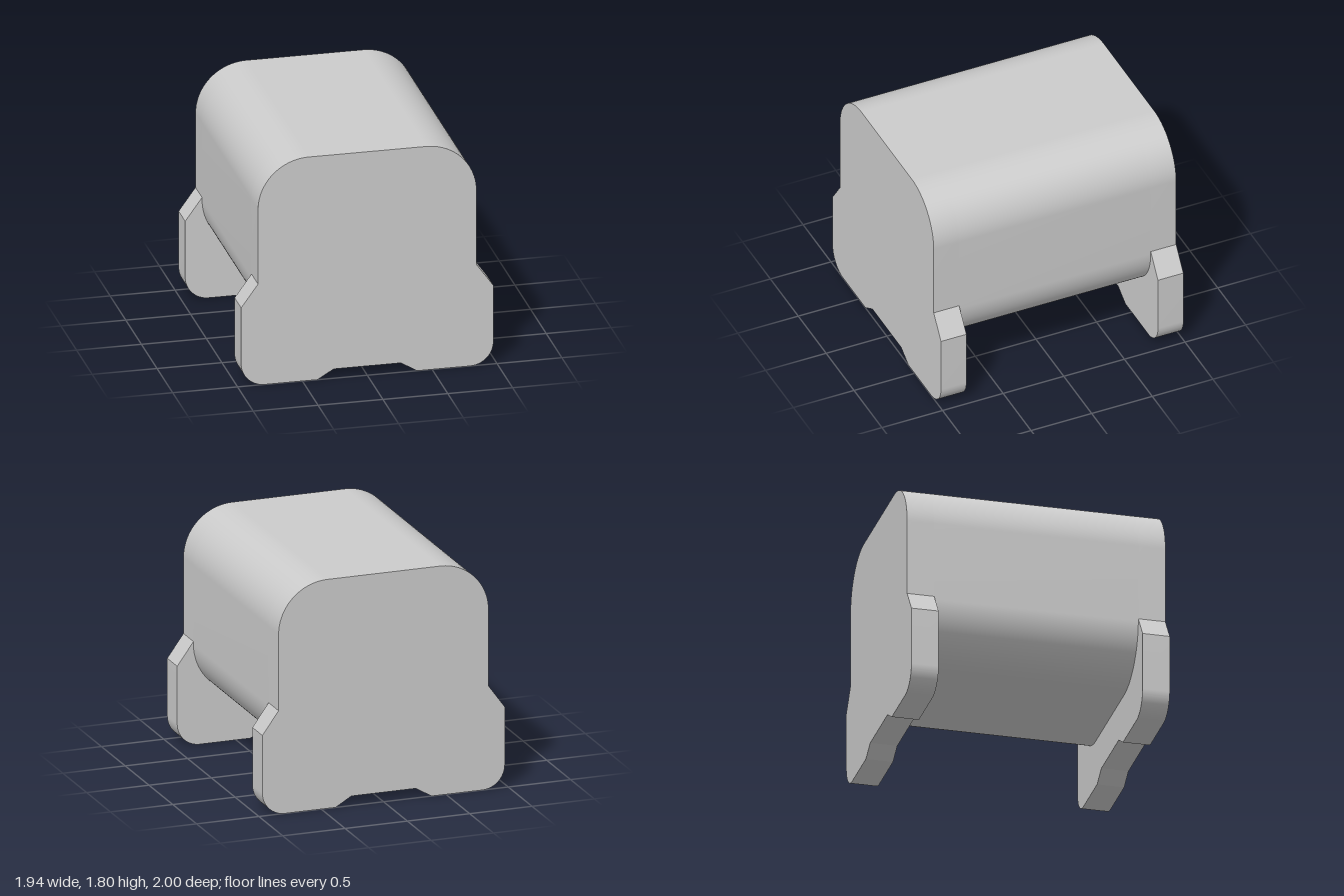
import * as THREE from 'three';
import { toCreasedNormals } from 'three/addons/utils/BufferGeometryUtils.js';

const W = 0.842, TOP = 1.805, BOTTOM = 0.375; // body half width and heights
const R = 0.39, RB = 0.42;                    // upper and lower corner radii
const PLATE = 0.21;                           // end plate thickness

// Rounded upper outline, from the right-hand side over the top to the other side
function addTop(s) {
  s.lineTo(W, TOP - R);
  s.absarc(W - R, TOP - R, R, 0, Math.PI / 2);
  s.lineTo(-W + R, TOP);
  s.absarc(-W + R, TOP - R, R, Math.PI / 2, Math.PI);
}

function bodyShape() {
  const s = new THREE.Shape();
  s.moveTo(W, BOTTOM + RB);
  addTop(s);
  s.lineTo(-W, BOTTOM + RB);
  s.absarc(-W + RB, BOTTOM + RB, RB, Math.PI, Math.PI * 1.5);
  s.lineTo(W - RB, BOTTOM);
  s.absarc(W - RB, BOTTOM + RB, RB, Math.PI * 1.5, Math.PI * 2);
  return s;
}

// Same upper outline, widened below into two feet with a shallow notch between
function plateShape() {
  const F = 0.972, r = 0.18;
  const s = new THREE.Shape();
  s.moveTo(W, 0.815);
  addTop(s);
  s.lineTo(-W, 0.815);
  s.lineTo(-F, 0.635);
  s.lineTo(-F, r);
  s.absarc(-F + r, r, r, Math.PI, Math.PI * 1.5);
  s.lineTo(-0.385, 0);
  s.lineTo(-0.258, 0.075);
  s.lineTo(0.258, 0.075);
  s.lineTo(0.385, 0);
  s.lineTo(F - r, 0);
  s.absarc(F - r, r, r, Math.PI * 1.5, Math.PI * 2);
  s.lineTo(F, 0.635);
  s.closePath();
  return s;
}

function slab(name, shape, z0, z1, material) {
  const geo = new THREE.ExtrudeGeometry(shape, { depth: z1 - z0, bevelEnabled: false, curveSegments: 20 });
  geo.translate(0, 0, z0);
  const mesh = new THREE.Mesh(toCreasedNormals(geo, 0.35), material);
  mesh.name = name;
  return mesh;
}

export function createModel() {
  const group = new THREE.Group();
  group.name = 'roundedBlockWithFeet';
  const material = new THREE.MeshStandardMaterial({ color: 0xcccccc });
  const inner = 1 - PLATE;
  group.add(
    slab('body', bodyShape(), -inner, inner, material),
    slab('frontPlate', plateShape(), inner, 1, material),
    slab('backPlate', plateShape(), -1, -inner, material),
  );
  return group;
}
